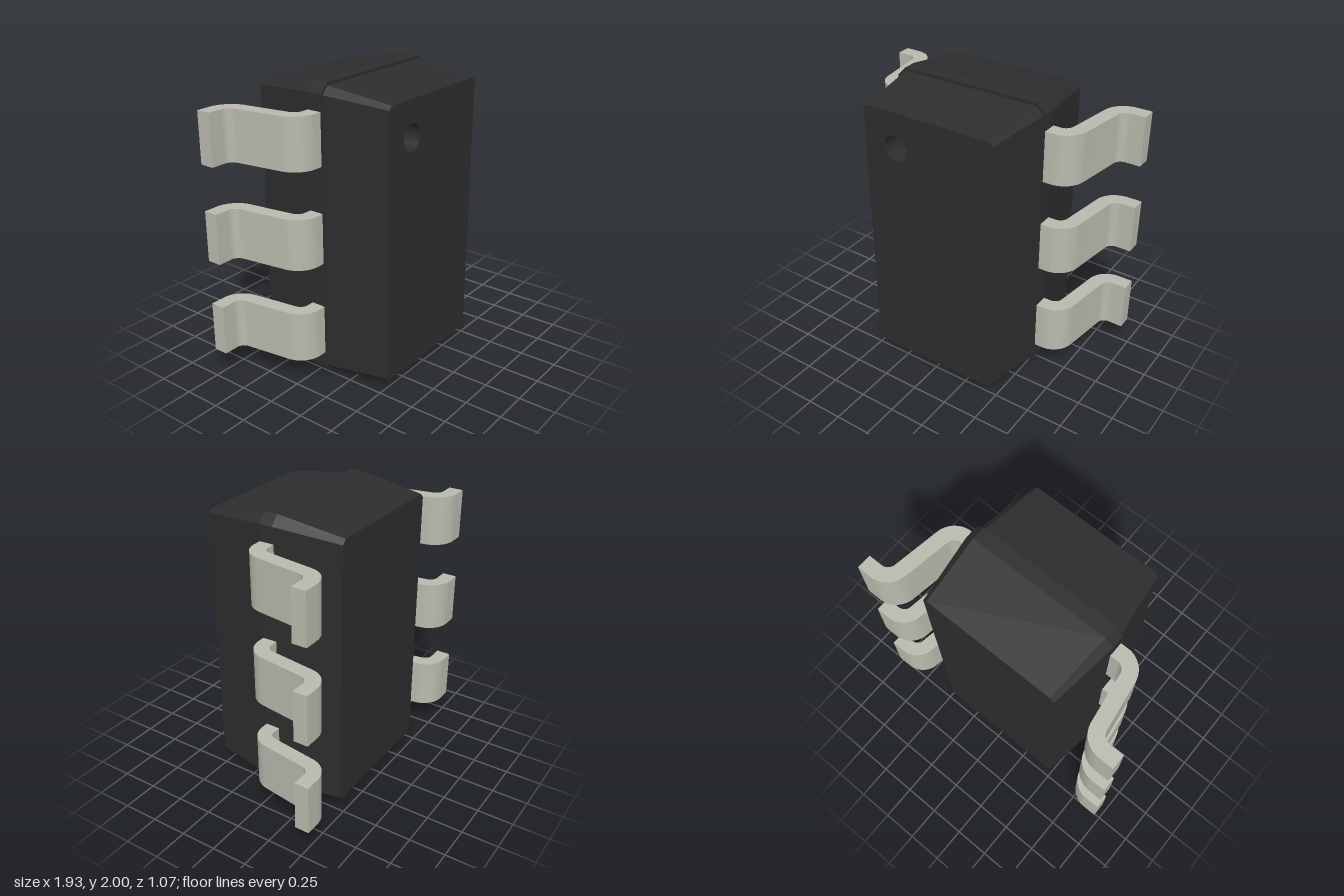
import * as THREE from 'three';
import { toCreasedNormals } from 'three/addons/utils/BufferGeometryUtils.js';

const MID_Y = 1;
const SEAM_Z = 0.085;
const FRONT_Z = 0.53;

// Rectangle with cut corners, counter-clockwise, centred on the origin
function octagon(w, h, c) {
  return [[w, -h + c], [w, h - c], [w - c, h], [-w + c, h],
    [-w, h - c], [-w, -h + c], [-w + c, -h], [w - c, -h]]
    .map(([x, y]) => new THREE.Vector2(x, y));
}

// Flat-sided wall through sections [z, halfWidth, halfHeight, chamfer], back to front
function loft(sections) {
  const pos = [];
  for (let s = 0; s < sections.length - 1; s++) {
    const [z0, ...a] = sections[s];
    const [z1, ...b] = sections[s + 1];
    const p = octagon(...a), q = octagon(...b);
    for (let i = 0; i < 8; i++) {
      const j = (i + 1) % 8;
      const A = [p[i].x, p[i].y, z0], B = [p[j].x, p[j].y, z0];
      const C = [q[j].x, q[j].y, z1], D = [q[i].x, q[i].y, z1];
      pos.push(...A, ...B, ...C, ...A, ...C, ...D);
    }
  }
  const g = new THREE.BufferGeometry();
  g.setAttribute('position', new THREE.Float32BufferAttribute(pos, 3));
  g.computeVertexNormals();
  return g;
}

// Gull-wing lead: bent strip profile extruded along y
function leadGeometry() {
  const height = 0.345, r = 0.06, R = 0.16, a = THREE.MathUtils.degToRad(8.4);
  const s = new THREE.Shape();
  s.moveTo(0.48, -0.08);
  s.lineTo(0.6, -0.08);
  s.absarc(0.6, 0.08, R, -Math.PI / 2, -a, false);
  s.absarc(0.865, 0.375, r, Math.PI - a, Math.PI / 2, true);
  s.lineTo(0.965, 0.435);
  s.lineTo(0.965, 0.535);
  s.lineTo(0.865, 0.535);
  s.absarc(0.865, 0.375, R, Math.PI / 2, Math.PI - a, false);
  s.absarc(0.6, 0.08, r, -a, -Math.PI / 2, true);
  s.lineTo(0.48, 0.02);
  s.closePath();
  const g = new THREE.ExtrudeGeometry(s, { depth: height, bevelEnabled: false, curveSegments: 12 });
  g.translate(0, 0, -height / 2);
  g.rotateX(-Math.PI / 2);
  return toCreasedNormals(g, 0.5);
}

export function createModel() {
  const model = new THREE.Group();
  model.name = 'sixLeadChip';
  const black = new THREE.MeshStandardMaterial({ color: 0x2d2d2d });
  black.name = 'blackPlastic';
  const tin = new THREE.MeshStandardMaterial({ color: 0xbab9ae });
  tin.name = 'tinnedMetal';

  const body = new THREE.Group();
  body.name = 'body';
  body.position.y = MID_Y;
  model.add(body);
  const add = (parent, name, geometry, material) => {
    const m = new THREE.Mesh(geometry, material);
    m.name = name;
    parent.add(m);
    return m;
  };

  // Rear moulding: straight band, then tapering to the back face
  add(body, 'rearShell', loft([[-0.465, 0.49, 0.935, 0.03], [-0.01, 0.55, 1, 0.06],
    [SEAM_Z, 0.55, 1, 0.06]]), black);
  const backFace = add(body, 'backFace',
    new THREE.ShapeGeometry(new THREE.Shape(octagon(0.49, 0.935, 0.03))), black);
  backFace.rotation.y = Math.PI;
  backFace.position.z = -0.465;
  const ledge = add(body, 'seamLedge',
    new THREE.ShapeGeometry(new THREE.Shape(octagon(0.55, 1, 0.06))), black);
  ledge.position.z = SEAM_Z;

  // Front moulding, set in slightly at the seam
  add(body, 'frontShell', loft([[SEAM_Z, 0.535, 0.98, 0.05],
    [FRONT_Z, 0.472, 0.92, 0.025]]), black);

  // Front face with the round orientation recess
  const hx = -0.235, hy = 0.68, hr = 0.087, depth = 0.2;
  const face = new THREE.Shape(octagon(0.472, 0.92, 0.025));
  face.holes.push(new THREE.Path().absarc(hx, hy, hr, 0, Math.PI * 2, true));
  add(body, 'frontFace', new THREE.ShapeGeometry(face, 24), black).position.z = FRONT_Z;

  // Lathe profile runs floor-to-rim so the wall faces inwards
  const wall = new THREE.CylinderGeometry(hr, hr, depth, 48, 1, true);
  wall.scale(-1, 1, 1); // turns the faces inwards
  wall.computeVertexNormals();
  wall.rotateX(Math.PI / 2);
  add(body, 'markerWall', wall, black).position.set(hx, hy, FRONT_Z - depth / 2);
  add(body, 'markerFloor', new THREE.CircleGeometry(hr, 48), black)
    .position.set(hx, hy, FRONT_Z - depth);

  // Three leads on each side
  const lead = leadGeometry();
  for (const [side, turn] of [['left', 0], ['right', Math.PI]]) {
    for (let i = 0; i < 3; i++) {
      const m = add(model, `${side}Lead${i + 1}`, lead, tin);
      m.position.y = 1.0025 + (i - 1) * 0.655;
      m.rotation.z = turn;
    }
  }
  return model;
}
